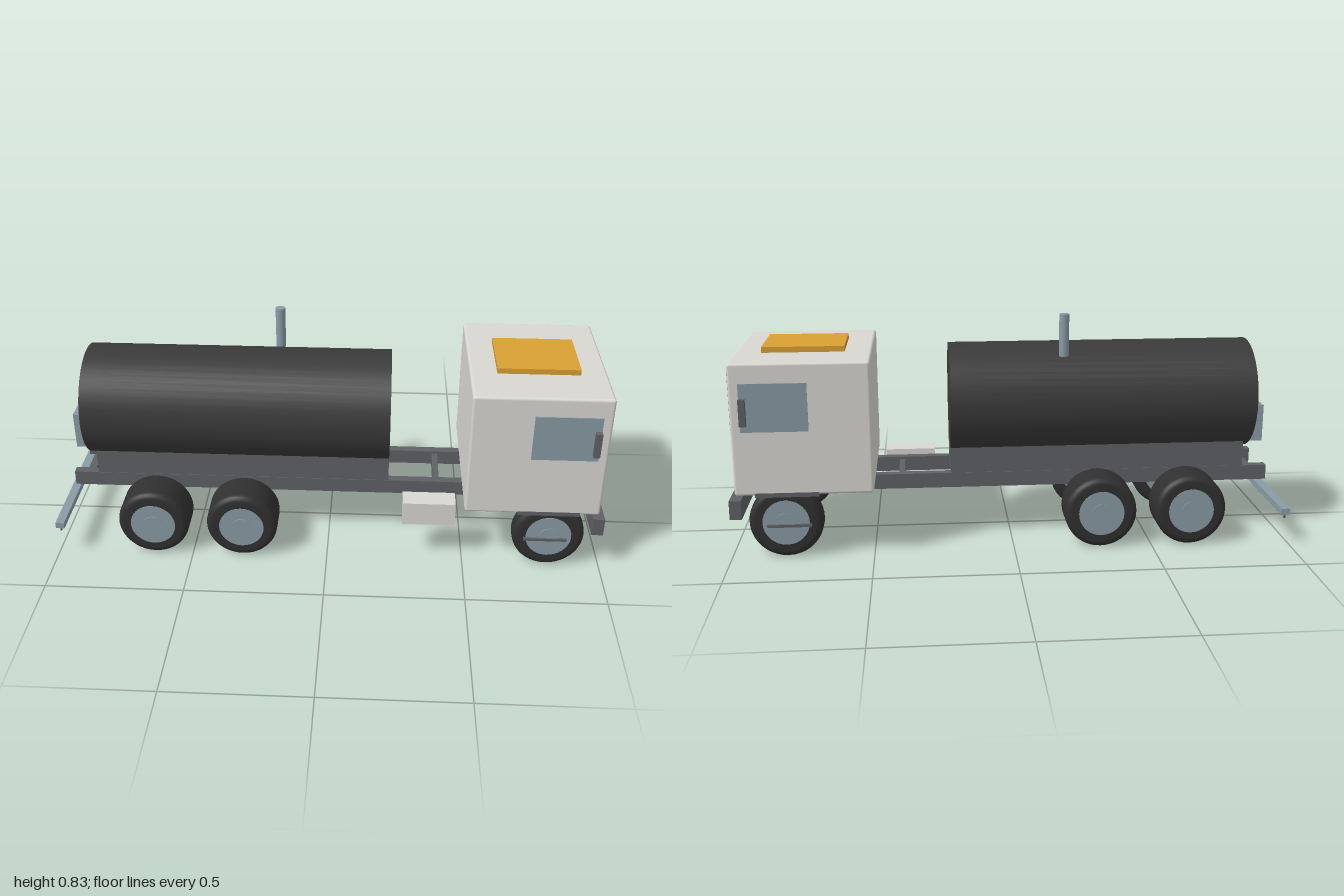
import * as THREE from 'three';
import { RoundedBoxGeometry } from 'three/addons/geometries/RoundedBoxGeometry.js';

const mat = (name, color) => {
  const m = new THREE.MeshStandardMaterial({ color });
  m.name = name;
  return m;
};

export function createModel() {
  const truck = new THREE.Group();
  truck.name = 'tankTruck';

  const cabWhite = mat('cabWhite', 0xd9d7d2);
  const tankBlack = mat('tankBlack', 0x3a3a3a);
  const tyreBlack = mat('tyreBlack', 0x303030);
  const frameGrey = mat('frameGrey', 0x5e6165);
  const steel = mat('steel', 0x8a9ba5);
  const glass = mat('glass', 0x879aa4);
  const amber = mat('amber', 0xd9a034);
  const lampWhite = mat('lampWhite', 0xdcdad4);

  const add = (name, geometry, material, x = 0, y = 0, z = 0, parent = truck) => {
    const mesh = new THREE.Mesh(geometry, material);
    mesh.name = name;
    mesh.position.set(x, y, z);
    parent.add(mesh);
    return mesh;
  };
  // Box given by its extents on each axis
  const box = (name, material, [x0, x1], [y0, y1], [z0, z1]) =>
    add(name, new THREE.BoxGeometry(x1 - x0, y1 - y0, z1 - z0), material,
      (x0 + x1) / 2, (y0 + y1) / 2, (z0 + z1) / 2);
  // The same box on both sides of the truck
  const pair = (name, material, xs, ys, [z0, z1]) => {
    box(name + 'Left', material, xs, ys, [z0, z1]);
    box(name + 'Right', material, xs, ys, [-z1, -z0]);
  };

  // Chassis
  pair('chassisRail', frameGrey, [-0.96, 0.955], [0.19, 0.245], [0.09, 0.122]);
  for (const x of [-0.9, -0.467, -0.033, 0.4, 0.833]) {
    box('crossMember', frameGrey, [x - 0.011, x + 0.011], [0.198, 0.236], [-0.092, 0.092]);
  }
  box('frontBumper', frameGrey, [0.955, 0.997], [0.15, 0.218], [-0.297, 0.297]);
  box('toolbox', cabWhite, [0.275, 0.465], [0.155, 0.245], [0.193, 0.27]);

  // Tank and its cradle
  box('tankCradle', frameGrey, [-0.868, 0.222], [0.245, 0.34], [-0.12, 0.12]);
  const tank = add('tank', new THREE.CylinderGeometry(0.203, 0.203, 1.112, 48), tankBlack, -0.334, 0.503, 0);
  tank.rotation.z = Math.PI / 2;
  add('ventPipe', new THREE.CylinderGeometry(0.018, 0.018, 0.153, 20), steel, -0.19, 0.7515, -0.12);
  box('pumpBox', steel, [-0.955, -0.885], [0.325, 0.463], [-0.07, 0.07]);

  // Rear spray bar with nozzles
  box('sprayBar', steel, [-1.0, -0.968], [0.112, 0.135], [-0.303, 0.303]);
  for (let i = -4; i <= 4; i++) {
    add('nozzle', new THREE.CylinderGeometry(0.004, 0.004, 0.016, 8), frameGrey, -0.984, 0.105, i * 0.073);
  }

  // Cab
  add('cab', new RoundedBoxGeometry(0.48, 0.47, 0.592, 3, 0.01), cabWhite, 0.735, 0.47, 0);
  box('windscreen', glass, [0.972, 0.979], [0.465, 0.67], [-0.268, 0.268]);
  box('grille', frameGrey, [0.972, 0.985], [0.258, 0.425], [-0.17, 0.17]);
  pair('headlight', lampWhite, [0.972, 0.98], [0.27, 0.304], [0.165, 0.243]);
  pair('sideWindow', glass, [0.71, 0.94], [0.465, 0.635], [0.293, 0.3]);
  pair('mirror', frameGrey, [0.918, 0.94], [0.49, 0.584], [0.295, 0.32]);
  pair('wheelArch', frameGrey, [0.685, 0.905], [0.228, 0.244], [0.21, 0.2968]);
  pair('cabStep', frameGrey, [0.715, 0.87], [0.116, 0.126], [0.23, 0.297]);
  box('roofHatch', amber, [0.59, 0.88], [0.7, 0.725], [-0.122, 0.122]);

  // Wheels: rounded tyre, rim disc and hub cap
  const R = 0.13, rimR = 0.082;
  const wheel = (name, x, side, width) => {
    const g = new THREE.Group();
    g.name = name;
    g.position.set(x, 0.131, side * (0.287 - width / 2));
    g.rotation.x = side * Math.PI / 2;
    const h = width / 2, c = 0.024;
    const profile = [new THREE.Vector2(rimR - 0.004, -h)];
    for (let i = 0; i <= 5; i++) {
      const a = (i / 5) * Math.PI / 2;
      profile.push(new THREE.Vector2(R - c + c * Math.sin(a), -h + c - c * Math.cos(a)));
    }
    for (let i = 5; i >= 0; i--) {
      const a = (i / 5) * Math.PI / 2;
      profile.push(new THREE.Vector2(R - c + c * Math.sin(a), h - c + c * Math.cos(a)));
    }
    profile.push(new THREE.Vector2(rimR - 0.004, h));
    add('tyre', new THREE.LatheGeometry(profile, 40), tyreBlack, 0, 0, 0, g);
    add('rim', new THREE.CylinderGeometry(rimR, rimR, width + 0.004, 32), steel, 0, 0, 0, g);
    add('hubCap', new THREE.CylinderGeometry(0.036, 0.036, width + 0.01, 24), steel, 0, 0, 0, g);
    truck.add(g);
  };
  for (const side of [1, -1]) {
    const s = side > 0 ? 'Left' : 'Right';
    wheel('frontWheel' + s, 0.805, side, 0.076);
    wheel('middleWheel' + s, -0.313, side, 0.147);
    wheel('rearWheel' + s, -0.64, side, 0.147);
  }

  return truck;
}
